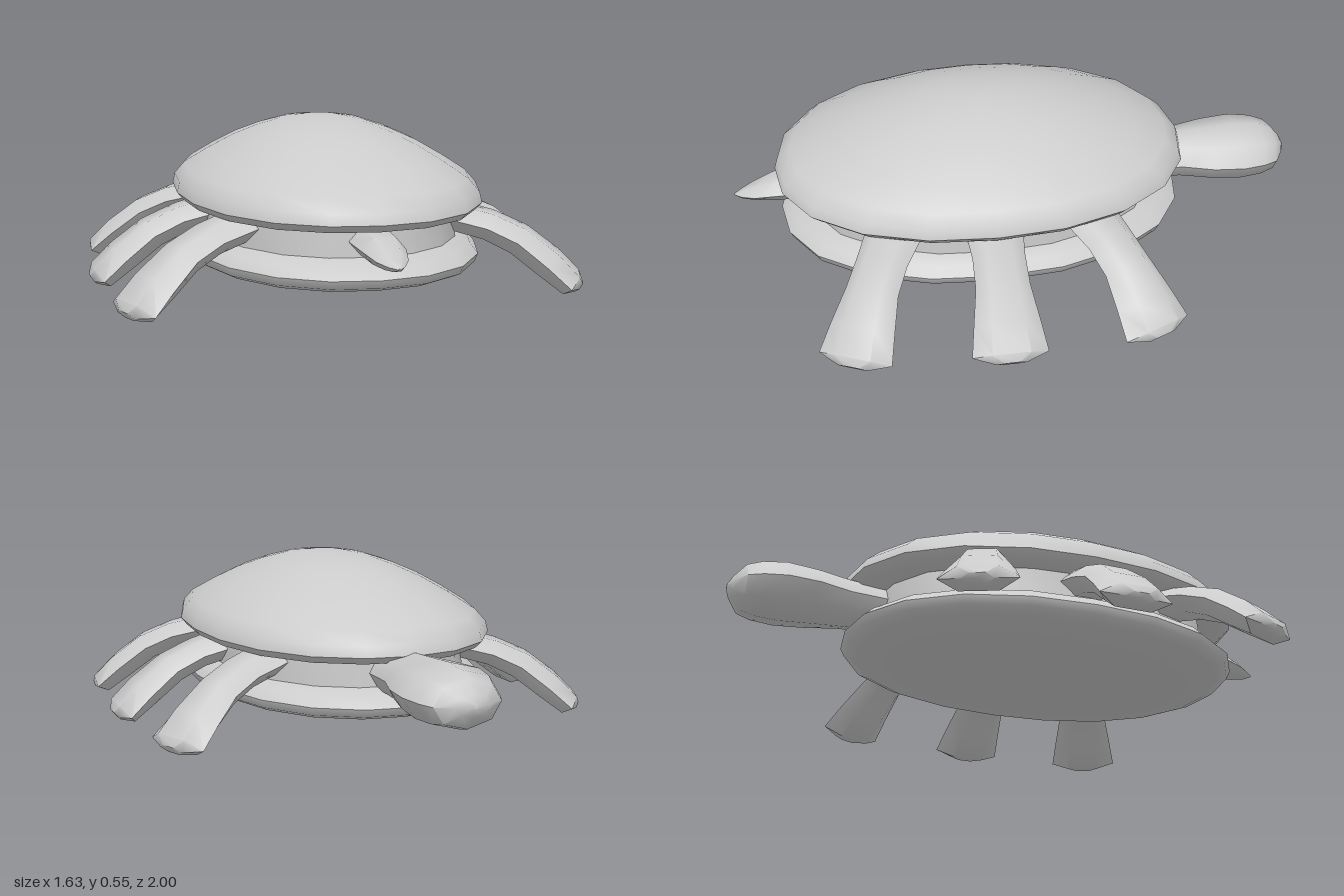
import * as THREE from 'three';
import { toCreasedNormals } from 'three/addons/utils/BufferGeometryUtils.js';

const material = new THREE.MeshStandardMaterial({ color: 0xcccccc });
const rad = THREE.MathUtils.degToRad;

function addMesh(parent, geometry, name) {
  const mesh = new THREE.Mesh(toCreasedNormals(geometry, rad(50)), material);
  mesh.name = name;
  parent.add(mesh);
  return mesh;
}

// Oval disc: a lathe of [radius fraction, y], stretched to a slightly squared ellipse
function oval(profile, rx, rz) {
  const g = new THREE.LatheGeometry(profile.map(([r, y]) => new THREE.Vector2(r, y)), 20);
  const p = g.attributes.position;
  for (let i = 0; i < p.count; i++) {
    const x = p.getX(i), z = p.getZ(i), r = Math.hypot(x, z);
    // Points on the axis have no direction and keep their place
    const k = r < 1e-6 ? 1 : (Math.abs(x / r) ** 2.2 + Math.abs(z / r) ** 2.2) ** (-1 / 2.2);
    p.setXYZ(i, x * k * rx, p.getY(i), z * k * rz + 0.125);
  }
  return g;
}

// Closed loft along local +x; stations are [x, y, half height, half width, tilt in degrees]
function limb(stations, sides, offset = 0) {
  const pos = [], index = [], last = stations.length - 1;
  for (const [x, y, h, w, tilt = 0] of stations) {
    const t = rad(tilt);
    for (let j = 0; j < sides; j++) {
      const a = offset + (j / sides) * Math.PI * 2, u = Math.cos(a) * h;
      pos.push(x - Math.sin(t) * u, y + Math.cos(t) * u, Math.sin(a) * w);
    }
  }
  const start = pos.length / 3, end = start + 1;
  for (const s of [stations[0], stations[last]]) pos.push(s[0], s[1], 0);
  for (let j = 0; j < sides; j++) {
    const n = (j + 1) % sides;
    for (let i = 0; i < last; i++) {
      const a = i * sides + j, b = i * sides + n;
      index.push(a, b, a + sides, b, b + sides, a + sides);
    }
    index.push(start, n, j, end, last * sides + j, last * sides + n);
  }
  const g = new THREE.BufferGeometry();
  g.setAttribute('position', new THREE.Float32BufferAttribute(pos, 3));
  g.setIndex(index);
  g.computeVertexNormals();
  return g;
}

export function createModel() {
  const model = new THREE.Group();
  model.name = 'turtle';

  // Domed upper shell with a rolled rim
  addMesh(model, oval([
    [0, 0.27], [0.85, 0.27], [0.96, 0.275], [1, 0.3], [0.985, 0.335], [0.92, 0.375],
    [0.77, 0.425], [0.6, 0.475], [0.43, 0.513], [0.27, 0.54], [0.12, 0.552], [0, 0.555],
  ], 0.51, 0.725), 'upperShell');

  // Shallow belly plate and the body above it
  addMesh(model, oval([
    [0, 0.04], [0.4, 0.045], [0.7, 0.06], [0.92, 0.085], [0.98, 0.102],
    [1, 0.13], [0.95, 0.162], [0.86, 0.18], [0.85, 0.28],
  ], 0.5, 0.715), 'bellyShell');

  // Head and neck, pointing to the back
  const head = addMesh(model, limb([
    [0.45, 0.225, 0.075, 0.1], [0.6, 0.228, 0.083, 0.108], [0.71, 0.228, 0.09, 0.143],
    [0.82, 0.228, 0.098, 0.153], [0.9, 0.226, 0.092, 0.138], [0.95, 0.224, 0.077, 0.115],
    [0.985, 0.224, 0.035, 0.055], [1, 0.224, 0.008, 0.012],
  ], 8), 'head');
  head.rotation.y = Math.PI / 2;

  // Short pointed tail
  const tail = addMesh(model, limb([
    [0.7, 0.23, 0.05, 0.075], [0.85, 0.225, 0.047, 0.07], [0.93, 0.21, 0.028, 0.05],
    [0.975, 0.202, 0.015, 0.025], [1, 0.2, 0.003, 0.004],
  ], 6, Math.PI / 6), 'tail');
  tail.rotation.y = -Math.PI / 2;

  // Three pairs of bent legs
  const legShape = limb([
    [0.36, 0.25, 0.05, 0.1, -10], [0.5, 0.215, 0.052, 0.088, -20],
    [0.6, 0.17, 0.055, 0.09, -35], [0.7, 0.095, 0.055, 0.11, -45],
    [0.775, 0.031, 0.045, 0.125, -42], [0.802, 0.018, 0.02, 0.05, -40],
  ], 6, Math.PI / 6);
  const legs = [
    ['HeadEndLeg', 0.015, -0.055, rad(24)],
    ['MiddleLeg', 0, 0.125, 0],
    ['TailEndLeg', 0.015, 0.305, rad(-24)],
  ];
  for (const [name, x, z, turn] of legs) {
    for (const side of [1, -1]) {
      const leg = addMesh(model, legShape, (side > 0 ? 'left' : 'right') + name);
      leg.position.set(side * x, 0, z);
      leg.rotation.y = side > 0 ? turn : Math.PI - turn;
    }
  }
  return model;
}
